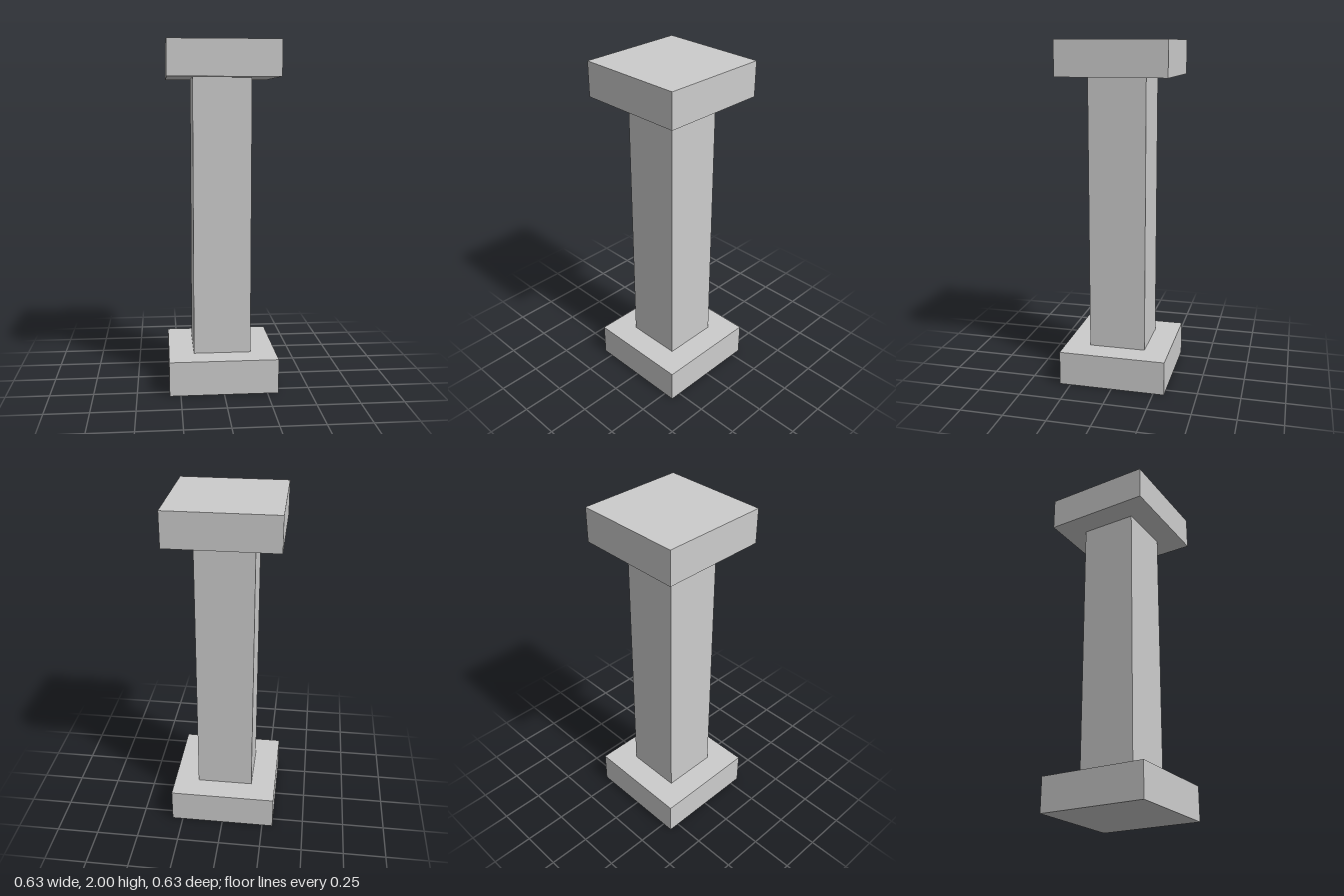
import * as THREE from 'three';

export function createModel() {
  const model = new THREE.Group();
  model.name = 'pillar';
  const stone = new THREE.MeshStandardMaterial({ color: 0xcccccc });
  stone.name = 'light grey stone';

  // Square block standing on height y
  const block = (name, width, height, y) => {
    const mesh = new THREE.Mesh(new THREE.BoxGeometry(width, height, width), stone);
    mesh.name = name;
    mesh.position.y = y + height / 2;
    model.add(mesh);
  };

  block('base', 0.628, 0.2, 0);
  block('shaft', 0.334, 1.6, 0.2);
  block('capital', 0.628, 0.2, 1.8);
  return model;
}
